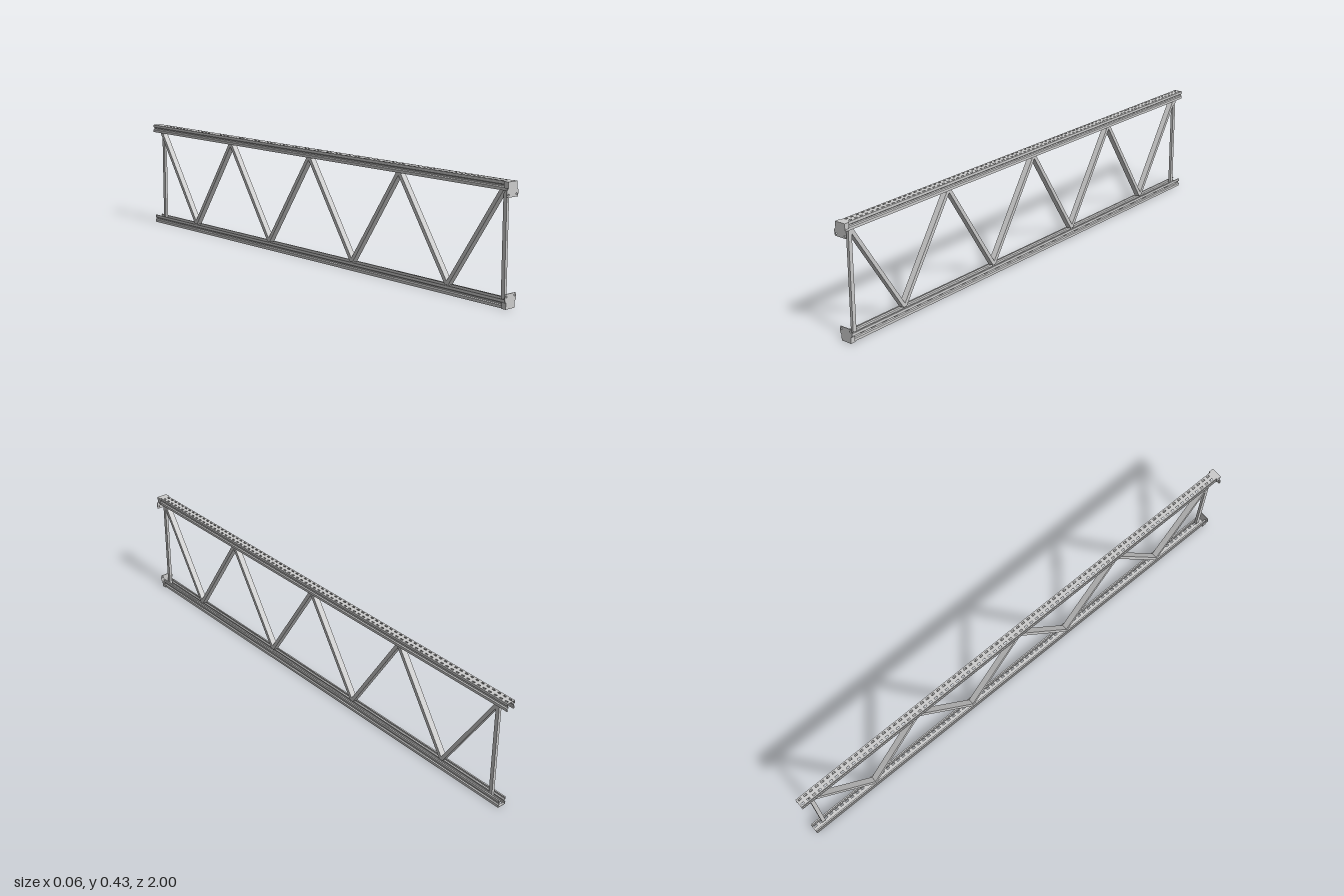
import * as THREE from 'three';

const H = 0.425;      // overall height
const CX = -0.0025;   // centre line of the chords and bracing
const steel = new THREE.MeshStandardMaterial({ color: 0xcccccc, flatShading: true, side: THREE.DoubleSide });

function add(parent, name, geometry, x = 0, y = 0, z = 0) {
  const mesh = new THREE.Mesh(geometry, steel);
  mesh.name = name;
  mesh.position.set(x, y, z);
  parent.add(mesh);
  return mesh;
}

const shapeOf = (pts) => new THREE.Shape(pts.map(([x, y]) => new THREE.Vector2(x, y)));
const extrude = (shape, depth) => new THREE.ExtrudeGeometry(shape, { depth, bevelEnabled: false, curveSegments: 8 });

// Channel with grooved side walls, inturned lips and a perforated web; y = 0 is the outer face
function makeChord(name) {
  const chord = new THREE.Group();
  chord.name = name;
  const t = 0.002, w = 0.0175;

  // web with two rows of slots
  const web = shapeOf([[-w, -1], [w, -1], [w, 1], [-w, 1]]);
  const count = 80, pitch = 2 / count;
  for (let i = 0; i < count; i++) {
    const z = -1 + pitch * (i + 0.5);
    for (const x of [-0.009, 0.009]) {
      const hole = new THREE.Path();
      hole.moveTo(x - 0.003, z - 0.006);
      hole.lineTo(x - 0.003, z + 0.006);
      hole.lineTo(x + 0.003, z + 0.006);
      hole.lineTo(x + 0.003, z - 0.006);
      hole.closePath();
      web.holes.push(hole);
    }
  }
  add(chord, 'perforatedWeb', extrude(web, t).rotateX(Math.PI / 2));

  // grooved walls, one per side
  const outer = [[w, 0], [w, -0.010], [0.0135, -0.013], [0.0135, -0.018], [w, -0.021], [w, -0.031]];
  const inner = outer.map(([x, y]) => [x - t, y]).reverse();
  inner[0] = [w - t, -0.029];
  const wall = [...outer, [0.012, -0.031], [0.012, -0.029], ...inner];
  for (const s of [1, -1]) {
    const pts = wall.map(([x, y]) => [x * s, y]);
    add(chord, s > 0 ? 'leftWall' : 'rightWall', extrude(shapeOf(pts), 2), 0, 0, -1);
  }

  // flared end plate with two bolt holes and folded returns
  const plate = new THREE.Shape();
  plate.moveTo(-0.022, 0);
  plate.lineTo(0.022, 0);
  plate.lineTo(0.022, -0.022);
  plate.quadraticCurveTo(0.028, -0.027, 0.028, -0.034);
  plate.lineTo(0.028, -0.041);
  plate.lineTo(0.0255, -0.052);
  plate.lineTo(-0.0255, -0.052);
  plate.lineTo(-0.028, -0.041);
  plate.lineTo(-0.028, -0.034);
  plate.quadraticCurveTo(-0.028, -0.027, -0.022, -0.022);
  plate.closePath();
  for (const x of [-0.02, 0.02]) {
    const hole = new THREE.Path();
    hole.absarc(x, -0.043, 0.0035, 0, Math.PI * 2, true);
    plate.holes.push(hole);
  }
  add(chord, 'endPlate', extrude(plate, 0.003), 0, 0, 0.997);
  add(chord, 'endPlateFold', new THREE.BoxGeometry(0.044, 0.002, 0.018), 0, -0.001, 0.99);
  for (const s of [1, -1]) {
    add(chord, 'endPlateCheek', new THREE.BoxGeometry(0.003, 0.022, 0.018), s * 0.0205, -0.011, 0.99);
  }
  return chord;
}

// Straight brace between two points in the z-y plane
function addBrace(parent, name, [z0, y0], [z1, y1], width, thick, x) {
  const length = Math.hypot(z1 - z0, y1 - y0);
  const mesh = add(parent, name, new THREE.BoxGeometry(width, length, thick), x, (y0 + y1) / 2, (z0 + z1) / 2);
  mesh.rotation.x = Math.atan2(z1 - z0, y1 - y0);
}

export function createModel() {
  const model = new THREE.Group();
  model.name = 'latticeGirder';

  // chords: the lower one is the upper one turned over
  const top = makeChord('topChord');
  top.position.set(CX, H, 0);
  const bottom = makeChord('bottomChord');
  bottom.rotation.z = Math.PI;
  model.add(top, bottom);

  // zigzag diagonals
  const bracing = new THREE.Group();
  bracing.name = 'bracing';
  model.add(bracing);
  const nodes = [];
  for (let i = 0; i <= 8; i++) nodes.push([0.965 - i * 0.2395, i % 2 ? 0.034 : 0.397]);
  for (let i = 0; i < 8; i++) addBrace(bracing, 'diagonal', nodes[i], nodes[i + 1], 0.023, 0.014, CX);

  // end posts
  for (const z of [0.968, -0.953]) addBrace(bracing, 'endPost', [z, 0.02], [z, 0.405], 0.011, 0.015, 0.0035);

  return model;
}
